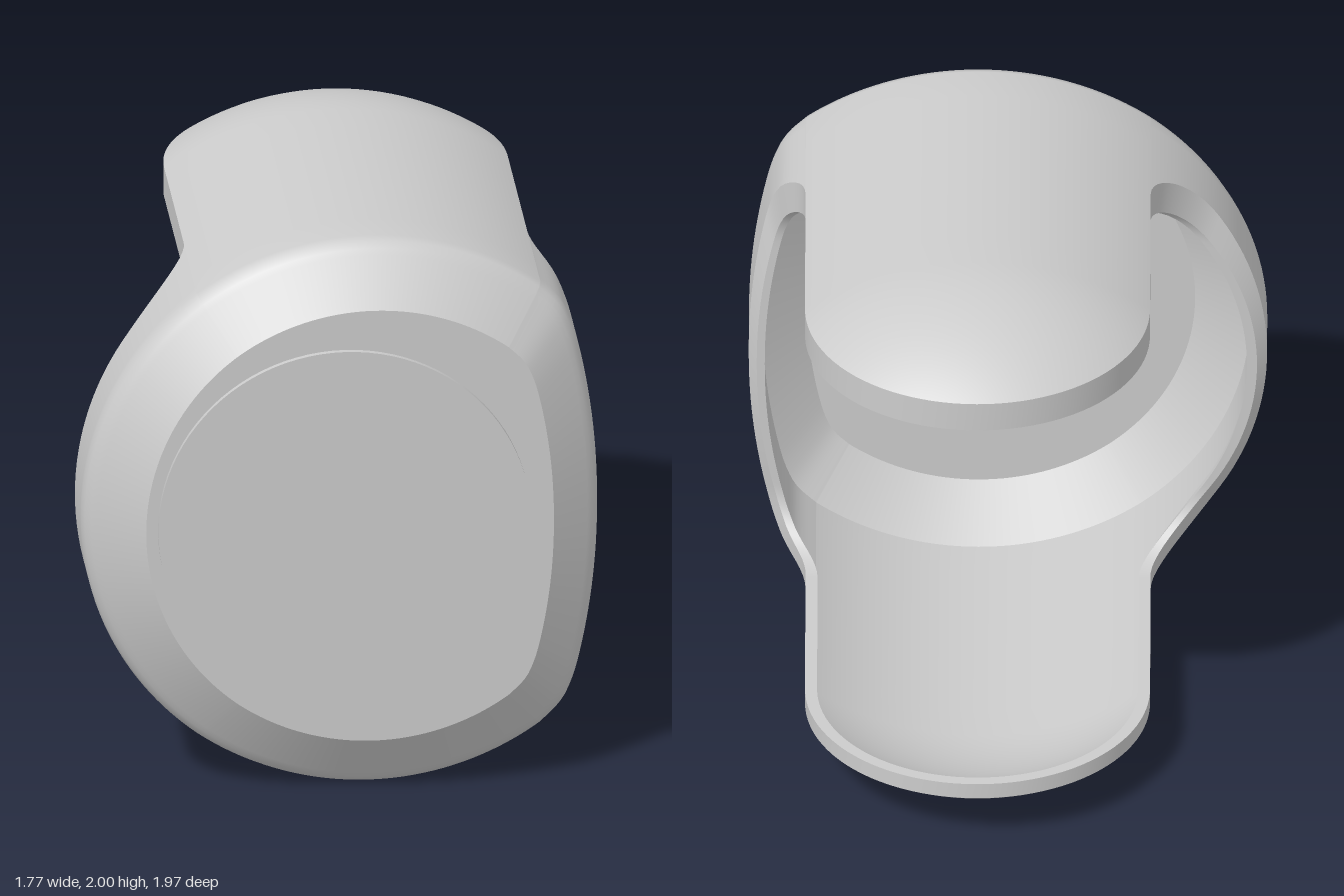
import * as THREE from 'three';
import { mergeVertices } from 'three/addons/utils/BufferGeometryUtils.js';

const CX = 0.1, CY = 1;        // centre of the round outline
const W = 0.59;                // half width of the tongues
const H = Math.sqrt(1 - W * W); // height of the tongue edge above the centre
const ZC = -0.39;              // where the rounded tongue tips begin
const INNER = 0.94;            // scale of the inside of the shell
const lerp = THREE.MathUtils.lerp;

// Flattened right side of the outline: half width by height
const rightCurve = [[0, 0.785], [0.2, 0.778], [0.4, 0.755], [0.6, 0.715], [0.7, 0.68], [0.75, 0.648], [H, W]];

function sideX(y, right) {
  const h = Math.min(Math.abs(y - CY), H);
  if (!right) return CX - (W + (Math.sqrt(1 - h * h) - W) * 0.97);
  let i = 0;
  while (i < rightCurve.length - 2 && h > rightCurve[i + 1][0]) i++;
  // Catmull-Rom through the curve, mirrored at the middle
  const at = (k) => (k < 0 ? [-rightCurve[-k][0], rightCurve[-k][1]] : rightCurve[Math.min(k, rightCurve.length - 1)]);
  const [p0, p1, p2, p3] = [at(i - 1), at(i), at(i + 1), at(i + 2)];
  const d = p2[0] - p1[0], t = (h - p1[0]) / d;
  const m1 = (p2[1] - p0[1]) / (p2[0] - p0[0]) * d, m2 = (p3[1] - p1[1]) / (p3[0] - p1[0]) * d;
  const t2 = t * t, t3 = t2 * t;
  return CX + (2 * t3 - 3 * t2 + 1) * p1[1] + (t3 - 2 * t2 + t) * m1 + (3 * t2 - 2 * t3) * p2[1] + (t3 - t2) * m2;
}

// Columns run once around the outline; each knows its back edge and its rim edge
function makeColumns() {
  const cols = [];
  const tongue = (sign) => {
    for (let i = 0; i <= 48; i++) {
      const a = Math.PI * i / 48;
      const u = sign * W * Math.cos(a);
      cols.push({
        tongue: true, sign, x: CX + u, y: CY + sign * Math.sqrt(1 - u * u),
        zb: ZC - W * Math.sin(a), rimY: sign > 0 ? 1.7 : 0.25, bevel: 1,
      });
    }
  };
  const side = (right) => {
    const list = [];
    const add = (y, zb, rimY, rimZ, bevel) => list.push({ x: sideX(y, right), y, zb, rimY, rimZ, bevel, sign: 1 });
    const R = 0.25, yc = H - R;
    const corner = (sign, a) => add(CY + sign * (yc + R * Math.sin(a)), 0.32 + R * Math.cos(a),
      sign > 0 ? 1.47 + 0.23 * Math.sin(a) : 0.47 - 0.22 * Math.sin(a),
      0.3 + 0.237 * Math.cos(a), 1 - 0.035 * Math.cos(a));
    for (let i = 12; i >= 0; i--) corner(1, Math.PI / 2 * i / 12);
    for (let i = 1; i < 28; i++) add(CY + lerp(yc, -yc, i / 28), 0.57, lerp(1.47, 0.47, i / 28), 0.537, 0.965);
    for (let i = 0; i <= 12; i++) corner(-1, Math.PI / 2 * i / 12);
    cols.push(...(right ? list.reverse() : list));
  };
  tongue(1);
  side(false);
  tongue(-1);
  side(true);
  return cols;
}

// Point of the shell at depth z and scale s; the tongue tips are spherical caps
function shellPoint(c, z, s) {
  const u = (c.x - CX) * s;
  let y = CY + (c.y - CY) * s;
  if (c.tongue && z < ZC) y = CY + c.sign * Math.sqrt(s * s - u * u - (z - ZC) ** 2);
  return [CX + u, y, z];
}

// Skin a list of rows, each a closed loop of points
function skin(name, rows, material) {
  const n = rows[0].length, index = [];
  for (let i = 0; i < rows.length - 1; i++) {
    for (let j = 0; j < n; j++) {
      const a = i * n + j, b = i * n + (j + 1) % n;
      index.push(a, a + n, b, a + n, b + n, b);
    }
  }
  let geo = new THREE.BufferGeometry();
  geo.setAttribute('position', new THREE.Float32BufferAttribute(rows.flat(2), 3));
  geo.setIndex(index);
  geo = mergeVertices(geo, 1e-5);
  geo.computeVertexNormals();
  const mesh = new THREE.Mesh(geo, material);
  mesh.name = name;
  return mesh;
}

export function createModel() {
  const group = new THREE.Group();
  group.name = 'shell';
  const mat = new THREE.MeshStandardMaterial({ color: 0xcccccc, side: THREE.DoubleSide });
  const cols = makeColumns();
  const ring = (s, z) => cols.map((c) => shellPoint(c, z, s));

  // Rows from the front of the wall to its back edge
  const wallRows = (z0, s) => {
    const rows = [];
    for (let i = 0; i <= 20; i++) {
      rows.push(cols.map((c) => {
        const end = c.tongue ? ZC + (c.zb - ZC) * s : c.zb;
        const mid = Math.max(end, ZC);
        const z = i <= 8 ? lerp(z0, mid, i / 8) : lerp(mid, end, Math.sin(Math.PI / 2 * (i - 8) / 12));
        return shellPoint(c, z, s);
      }));
    }
    return rows;
  };

  // Flat front and round raised disc
  group.add(skin('frontFace', [ring(0, 0.965), ring(0.79, 0.965)], mat));
  const disc = new THREE.Mesh(new THREE.CylinderGeometry(0.64, 0.64, 0.03, 96), mat);
  disc.name = 'frontDisc';
  disc.rotation.x = Math.PI / 2;
  disc.position.set(0, 1.01, 0.97);
  group.add(disc);

  // Sloping front edge, softened into the outer wall and tongues
  const outer = wallRows(0.79, 1);
  group.add(skin('outerWall', [ring(0.79, 0.965), ring(0.81, 0.951), ring(0.95, 0.854), ring(0.97, 0.84),
    ring(0.99, 0.82), ...outer], mat));

  // Rim: bevelled skirt, flat lip and the step to the inside
  const rimOuter = cols.map((c) => [CX + (c.x - CX) * c.bevel, c.rimY, c.tongue ? c.zb : c.rimZ]);
  const rimInner = cols.map((c) => [CX + (c.x - CX) * 0.93, c.rimY, c.tongue ? ZC + (c.zb - ZC) * 0.93 : c.rimZ]);
  const inner = wallRows(0.78, INNER);
  group.add(skin('rimSkirt', [outer[20], rimOuter], mat));
  group.add(skin('rimLip', [rimOuter, rimInner], mat));
  group.add(skin('rimStep', [rimInner, inner[20]], mat));

  // Inside of the shell
  group.add(skin('innerWall', inner.slice().reverse(), mat));
  group.add(skin('innerSlope', [ring(INNER, 0.78), ring(0.75, 0.91)], mat));
  group.add(skin('innerFace', [ring(0.75, 0.91), ring(0, 0.91)], mat));
  return group;
}
